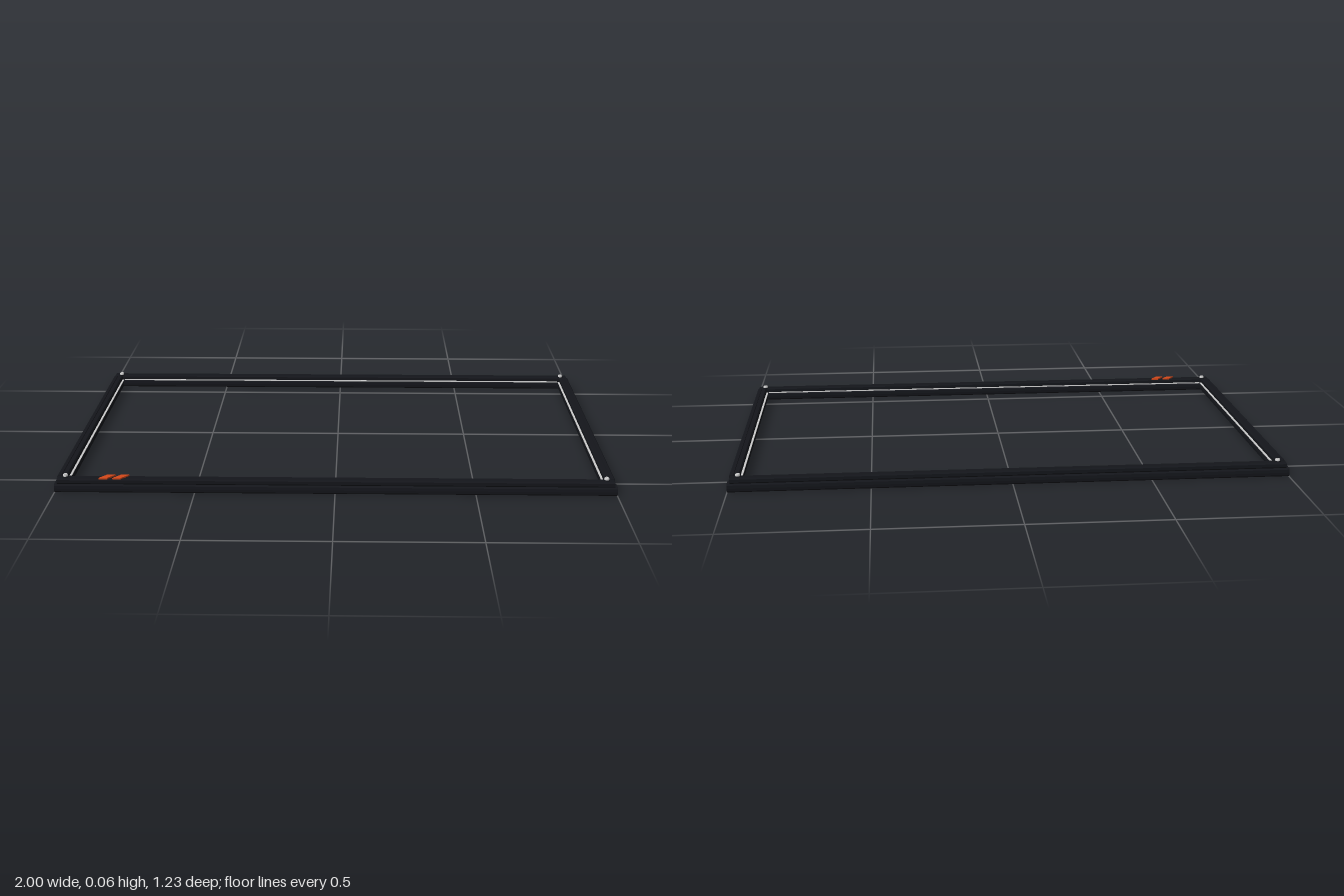
import * as THREE from 'three';

const mat = (color) => new THREE.MeshStandardMaterial({ color });

// Closed profile (outward, up) swept along a straight rail, centred on its length
function sweep(points, length, material, name) {
  const shape = new THREE.Shape(points.map(([u, y]) => new THREE.Vector2(u, y)));
  const geo = new THREE.ExtrudeGeometry(shape, { depth: length, bevelEnabled: false });
  geo.translate(0, 0, -length / 2);
  const mesh = new THREE.Mesh(geo, material);
  mesh.name = name;
  return mesh;
}

export function createModel() {
  const model = new THREE.Group();
  model.name = 'rectangularFrame';
  const black = mat(0x14161b);
  const metal = mat(0xcccccc);
  const orange = mat(0xd4481a);

  // Cross-sections: chamfered lower bar, and narrower cap with a shallow top groove
  const lower = [
    [-0.017, 0], [0.017, 0], [0.022, 0.005], [0.023, 0.015], [0.022, 0.026],
    [0.017, 0.031], [-0.017, 0.031], [-0.022, 0.026], [-0.023, 0.015], [-0.022, 0.005],
  ];
  const cap = [
    [-0.016, 0.03], [0.015, 0.03], [0.018, 0.035], [0.018, 0.046], [0.014, 0.05],
    [0.003, 0.05], [0.002, 0.048], [-0.002, 0.048], [-0.003, 0.05], [-0.014, 0.05], [-0.018, 0.046],
    [-0.018, 0.035],
  ];
  const strip = [[-0.025, 0.031], [-0.015, 0.031], [-0.015, 0.034], [-0.025, 0.034]];

  // Four rails; the long pair runs through the corners
  const rails = [
    ['frontRail', -Math.PI / 2, 0.591, 2, 1.98, 1.9],
    ['backRail', Math.PI / 2, 0.591, 2, 1.98, 1.9],
    ['leftRail', 0, 0.977, 1.132, 1.146, 1.13],
    ['rightRail', Math.PI, 0.977, 1.132, 1.146, 1.13],
  ];
  for (const [name, angle, distance, barLength, capLength, stripLength] of rails) {
    const rail = new THREE.Group();
    rail.name = name;
    rail.add(
      sweep(lower, barLength, black, 'lowerBar'),
      sweep(cap, capLength, black, 'upperCap'),
      sweep(strip, stripLength, metal, 'innerStrip'),
    );
    rail.rotation.y = angle;
    rail.position.set(Math.cos(angle) * distance, 0, -Math.sin(angle) * distance);
    model.add(rail);
  }

  // Corner screws: washer, domed head and dark socket
  const washerGeo = new THREE.CylinderGeometry(0.012, 0.012, 0.003, 20);
  const headGeo = new THREE.LatheGeometry(
    [[0.009, 0], [0.009, 0.006], [0.007, 0.009], [0.004, 0.009], [0.004, 0.005], [0, 0.005]]
      .map(([r, y]) => new THREE.Vector2(r, y)), 20);
  const socketGeo = new THREE.CylinderGeometry(0.004, 0.004, 0.001, 6);
  for (const sx of [-1, 1]) {
    for (const sz of [-1, 1]) {
      const screw = new THREE.Group();
      screw.name = 'cornerScrew';
      const washer = new THREE.Mesh(washerGeo, black);
      washer.name = 'washer';
      washer.position.y = 0.0005;
      const head = new THREE.Mesh(headGeo, metal);
      head.name = 'screwHead';
      head.position.y = 0.001;
      const socket = new THREE.Mesh(socketGeo, black);
      socket.name = 'hexSocket';
      socket.position.y = 0.006;
      screw.add(washer, head, socket);
      screw.position.set(sx * 0.963, 0.05, sz * 0.583);
      model.add(screw);
    }
  }

  // Two slanted marks on top of the front rail
  const slant = new THREE.Shape([[-0.028, -0.016], [0.002, -0.016], [0.028, 0.016], [-0.002, 0.016]]
    .map(([x, y]) => new THREE.Vector2(x, y)));
  const slantGeo = new THREE.ExtrudeGeometry(slant, { depth: 0.006, bevelEnabled: false });
  slantGeo.rotateX(-Math.PI / 2);
  for (const x of [-0.812, -0.763]) {
    const mark = new THREE.Mesh(slantGeo, orange);
    mark.name = 'slantedMark';
    mark.position.set(x, 0.049, 0.591);
    model.add(mark);
  }
  return model;
}
